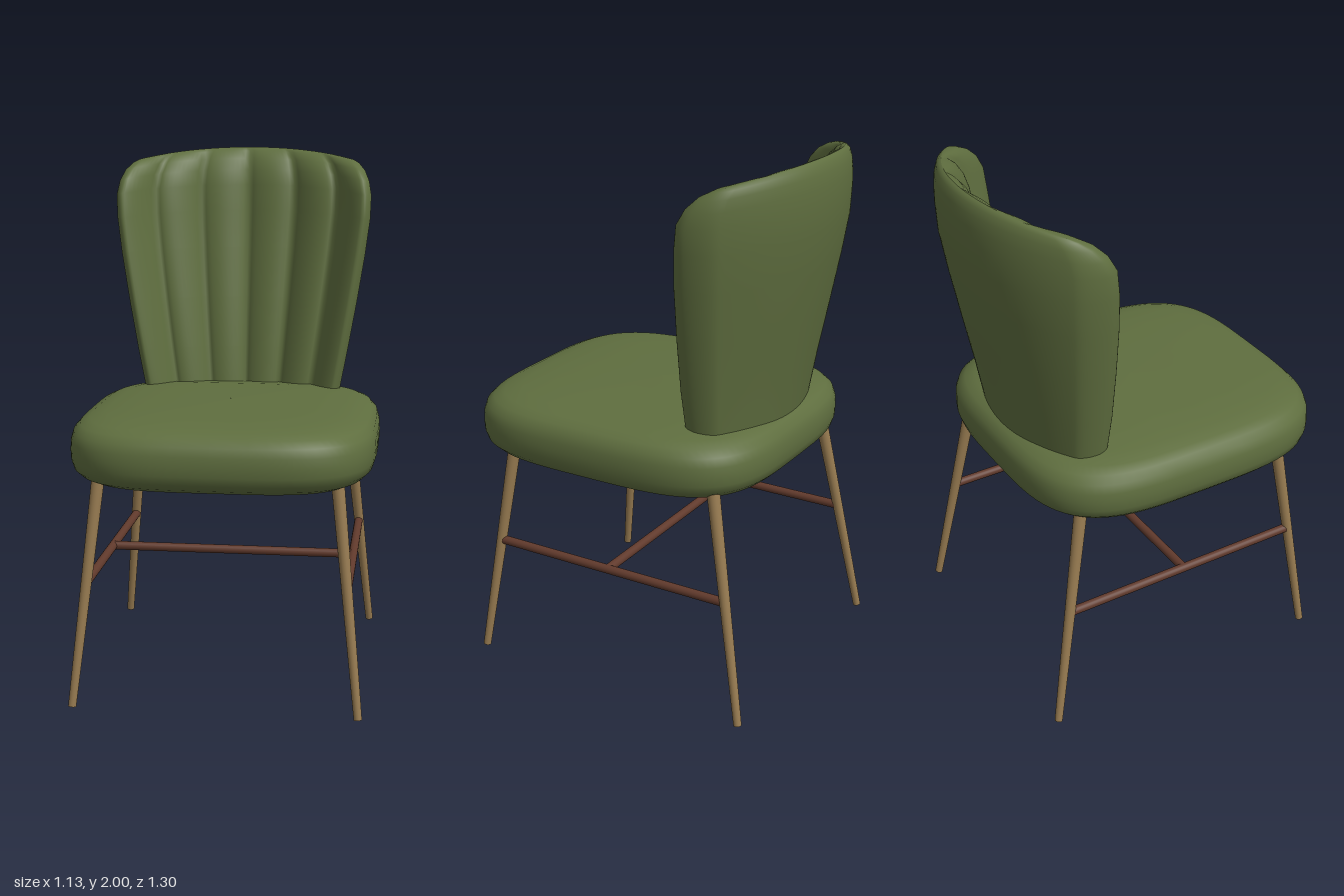
import * as THREE from 'three';

const green = new THREE.MeshStandardMaterial({ color: 0x5f6e3f });
green.name = 'greenFabric';
const wood = new THREE.MeshStandardMaterial({ color: 0x967a50 });
wood.name = 'lightWood';
const darkWood = new THREE.MeshStandardMaterial({ color: 0x613a2c });
darkWood.name = 'darkWood';

// Skin a stack of closed rings, listed from top to bottom
function loft(rings, name, material) {
  const n = rings[0].length, index = [];
  for (let i = 0; i < rings.length - 1; i++) {
    for (let j = 0; j < n; j++) {
      const k = (j + 1) % n, a = i * n, b = a + n;
      index.push(a + j, a + k, b + j, a + k, b + k, b + j);
    }
  }
  const geo = new THREE.BufferGeometry();
  geo.setAttribute('position', new THREE.Float32BufferAttribute(rings.flat(2), 3));
  geo.setIndex(index);
  geo.computeVertexNormals();
  const mesh = new THREE.Mesh(geo, material);
  mesh.name = name;
  return mesh;
}

// Round rod between two points
function rod(name, from, to, rFrom, rTo, material) {
  const a = new THREE.Vector3(...from), b = new THREE.Vector3(...to);
  const dir = b.clone().sub(a);
  const mesh = new THREE.Mesh(new THREE.CylinderGeometry(rTo, rFrom, dir.length(), 20), material);
  mesh.position.copy(a).add(b).multiplyScalar(0.5);
  mesh.quaternion.setFromUnitVectors(new THREE.Vector3(0, 1, 0), dir.normalize());
  mesh.name = name;
  return mesh;
}

// Domed cushion with a rounded-square outline
function makeSeat() {
  const profile = [ // outline scale, height
    [0.001, 1.07], [0.35, 1.069], [0.6, 1.065], [0.78, 1.056], [0.88, 1.044], [0.94, 1.028], [0.98, 1.003],
    [0.997, 0.97], [1, 0.935], [0.997, 0.9], [0.98, 0.868], [0.94, 0.845], [0.88, 0.828],
    [0.78, 0.814], [0.6, 0.804], [0.35, 0.8], [0.001, 0.8],
  ];
  const soft = (v) => Math.sign(v) * Math.abs(v) ** (2 / 3.7);
  const rings = profile.map(([s, y]) => Array.from({ length: 80 }, (_, j) => {
    const t = (j / 80) * Math.PI * 2;
    return [0.565 * s * soft(Math.cos(t)), y, 0.047 + 0.603 * s * soft(Math.sin(t))];
  }));
  return loft(rings, 'seat', green);
}

// Curved backrest: smooth outside, six upright flutes inside
function makeBackrest() {
  const R = 0.66;
  const rows = [ // height, half width, thickness, rear z
    [2.0, 0.43, 0, -0.617], [1.997, 0.437, 0.02, -0.626], [1.985, 0.455, 0.05, -0.637],
    [1.955, 0.48, 0.085, -0.647], [1.91, 0.498, 0.112, -0.652], [1.85, 0.508, 0.13, -0.653],
    [1.75, 0.505, 0.138, -0.648], [1.6, 0.488, 0.138, -0.622], [1.4, 0.458, 0.132, -0.582],
    [1.2, 0.423, 0.122, -0.54], [1.05, 0.395, 0.11, -0.512], [0.97, 0.38, 0.105, -0.497],
  ];
  // Samples across the width; cap closes the thickness at both ends
  const samples = [];
  for (let i = -27; i <= 27; i++) samples.push({ u: i / 30, cap: 1 });
  for (let k = 1; k <= 8; k++) {
    const q = (k / 8) * Math.PI / 2, u = 0.9 + 0.1 * Math.sin(q), cap = k === 8 ? 0 : Math.cos(q);
    samples.push({ u, cap });
    samples.unshift({ u: -u, cap });
  }
  const rings = rows.map(([y, w, thick, zRear]) => {
    const arc = Math.asin(w / R);
    const bow = 0.045 * THREE.MathUtils.clamp((y - 1.5) / 0.5, 0, 1);
    const point = ({ u, cap }, inside) => {
      const t = thick * (1 + 0.3 * u * u);
      const flute = 0.7 + 0.3 * Math.abs(Math.sin(3 * Math.PI * u)) ** 0.7;
      const depth = inside ? t * (0.4 + (flute - 0.4) * cap) : 0.4 * t * (1 - cap);
      return [R * Math.sin(u * arc), y - bow * u * u, zRear + R * (1 - Math.cos(u * arc)) + depth];
    };
    const outer = samples.map((s) => point(s, false));
    const inner = samples.slice(1, -1).reverse().map((s) => point(s, true));
    return [...outer, ...inner];
  });
  return loft(rings, 'backrest', green);
}

export function createModel() {
  const chair = new THREE.Group();
  chair.name = 'chair';
  chair.add(makeSeat(), makeBackrest());

  // Splayed legs and side stretchers
  for (const [side, s] of [['left', 1], ['right', -1]]) {
    chair.add(
      rod(side + 'FrontLeg', [s * 0.522, 0.003, 0.547], [s * 0.433, 0.85, 0.438], 0.015, 0.024, wood),
      rod(side + 'BackLeg', [s * 0.522, 0.003, -0.585], [s * 0.433, 0.86, -0.425], 0.015, 0.024, wood),
      rod(side + 'Stretcher', [s * 0.473, 0.46, 0.487], [s * 0.473, 0.46, -0.499], 0.017, 0.017, darkWood),
    );
  }
  // Bar joining the side stretchers
  chair.add(rod('crossStretcher', [-0.473, 0.46, 0], [0.473, 0.46, 0], 0.017, 0.017, darkWood));
  return chair;
}
